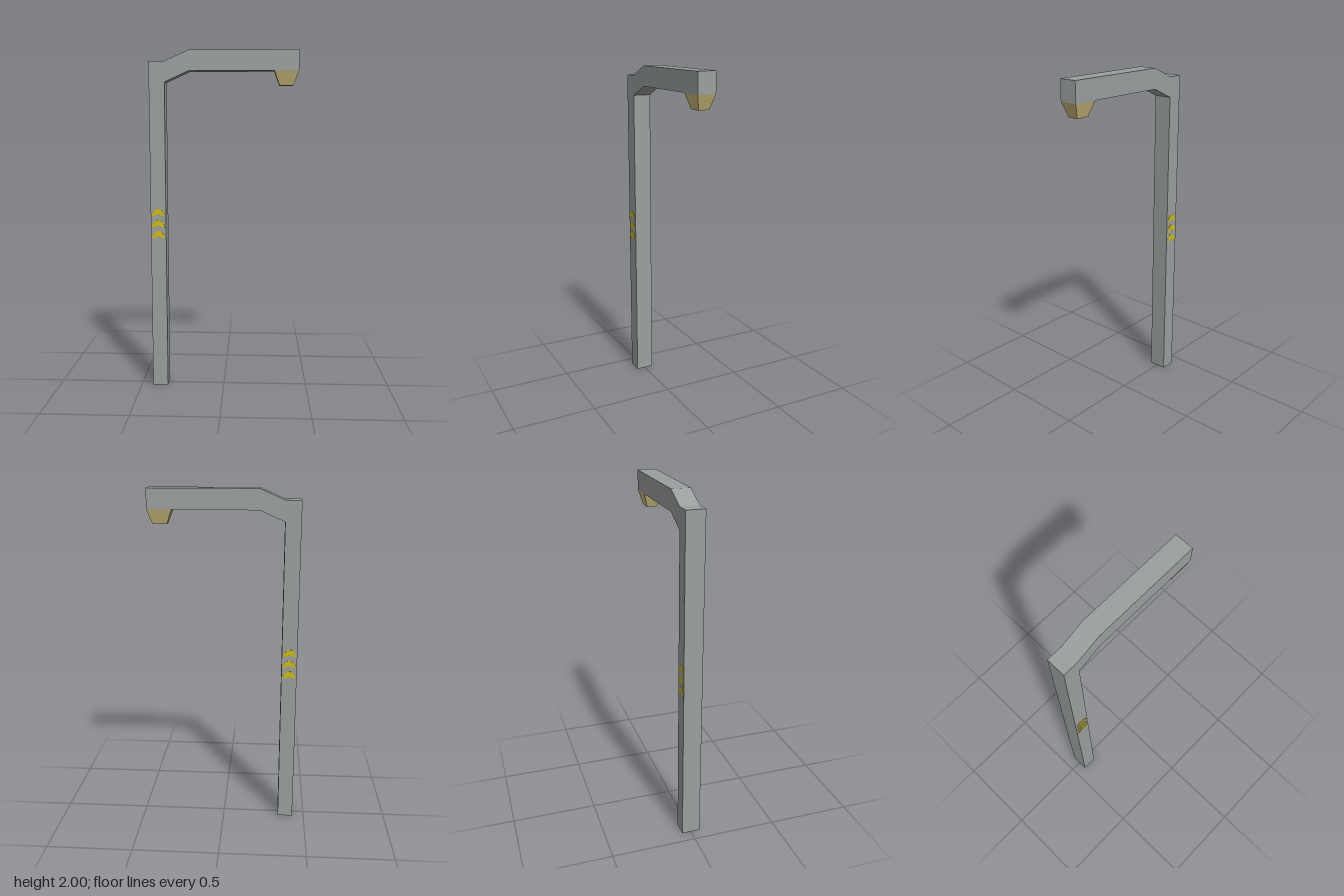
import * as THREE from 'three';

const material = (name, color, side = THREE.FrontSide) => {
  const m = new THREE.MeshStandardMaterial({ color, side });
  m.name = name;
  return m;
};

const shapeOf = (points) => new THREE.Shape(points.map(([x, y]) => new THREE.Vector2(x, y)));

// Drops the triangles lying on the ground, leaving the foot of the post open
function openBottom(geometry) {
  const source = geometry.getAttribute('position');
  const kept = [];
  for (let i = 0; i < source.count; i += 3) {
    const ys = [0, 1, 2].map((k) => source.getY(i + k));
    if (Math.max(...ys) < 1e-5) continue;
    for (let k = 0; k < 3; k++) kept.push(source.getX(i + k), ys[k], source.getZ(i + k));
  }
  const result = new THREE.BufferGeometry();
  result.setAttribute('position', new THREE.Float32BufferAttribute(kept, 3));
  result.computeVertexNormals();
  return result;
}

export function createModel() {
  const model = new THREE.Group();
  model.name = 'streetLamp';
  const grey = material('concrete grey', 0x9a9f9e, THREE.DoubleSide);
  const tan = material('lamp tan', 0xc6b679);
  const yellow = material('marking yellow', 0xd2bd08);
  const back = -0.055, front = 0.053;

  const add = (name, geometry, mat) => {
    const mesh = new THREE.Mesh(geometry, mat);
    mesh.name = name;
    model.add(mesh);
    return mesh;
  };

  // Post and overhanging arm in one bent profile
  const profile = shapeOf([
    [-0.43, 0], [-0.34, 0], [-0.34, 1.82], [-0.2, 1.883], [0.43, 1.883],
    [0.43, 2], [-0.2, 2], [-0.34, 1.938], [-0.43, 1.938],
  ]);
  const post = new THREE.ExtrudeGeometry(profile, { depth: front - back, bevelEnabled: false });
  post.translate(0, 0, back);
  add('postAndArm', openBottom(post), grey);

  // Lamp head: a box tapering downwards
  let lamp = new THREE.BoxGeometry(0.14, 0.082, front - back);
  const p = lamp.getAttribute('position');
  for (let i = 0; i < p.count; i++) {
    if (p.getY(i) < 0) p.setXYZ(i, p.getX(i) * 0.57, p.getY(i), p.getZ(i) * 0.57);
  }
  lamp = lamp.toNonIndexed();
  lamp.computeVertexNormals();
  add('lampHead', lamp, tan).position.set(0.36, 1.842, (front + back) / 2);

  // Three upward chevrons on the front and on the back of the post
  const chevron = new THREE.ExtrudeGeometry(
    shapeOf([[-0.037, 0], [-0.025, 0], [0, 0.013], [0.025, 0], [0.037, 0],
      [0.037, 0.012], [0.012, 0.042], [-0.012, 0.042], [-0.037, 0.012]]),
    { depth: 0.002, bevelEnabled: false });
  for (const y of [0.912, 0.977, 1.044]) {
    add('chevronFront', chevron, yellow).position.set(-0.385, y, front);
    add('chevronBack', chevron, yellow).position.set(-0.385, y, back - 0.001);
  }
  return model;
}
